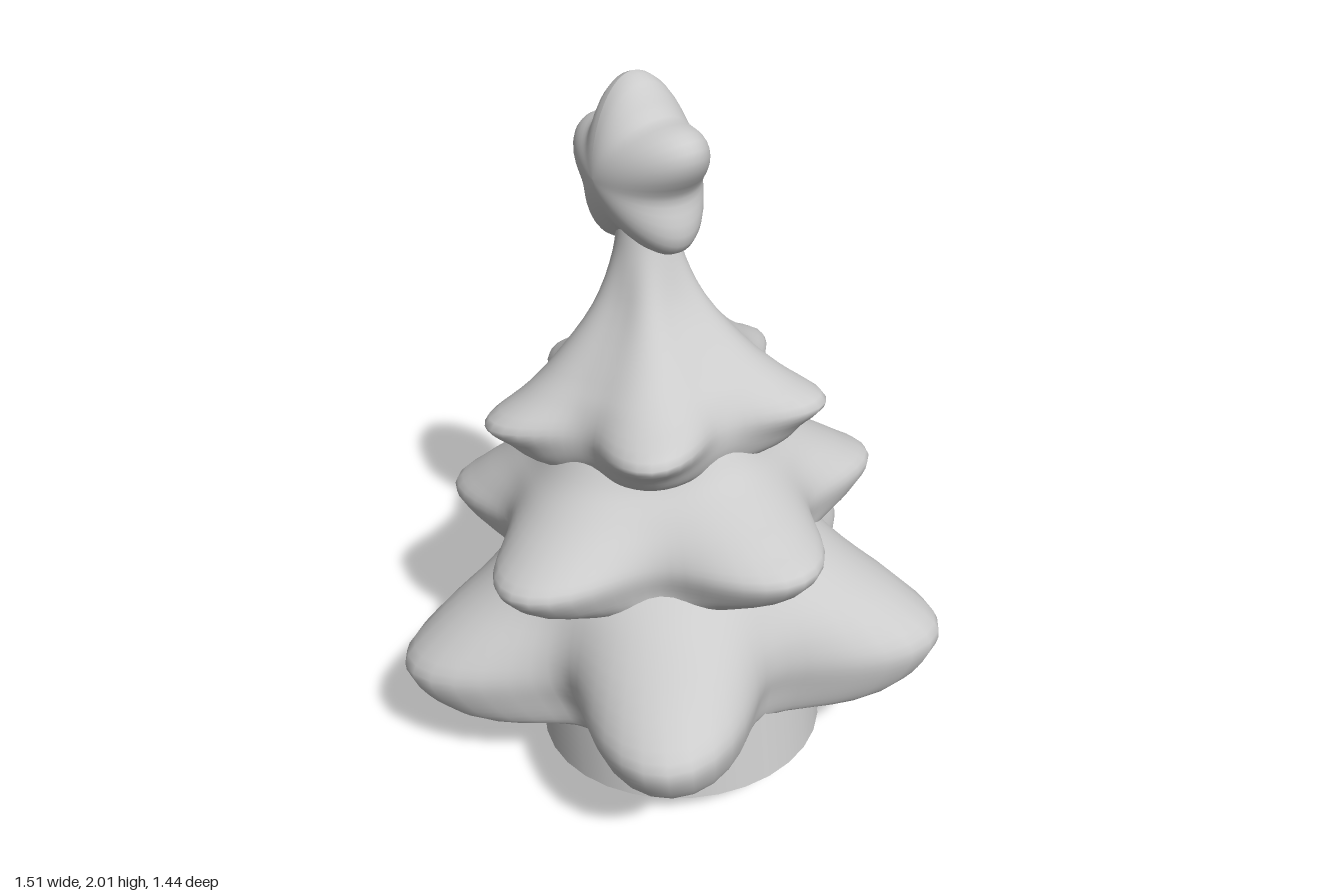
import * as THREE from 'three';

const material = new THREE.MeshStandardMaterial({ color: 0xcccccc });
const SEGMENTS = 80;

// Five-lobed ring profile: 1 on a point, 0 in a valley
const lobe = (angle, sharp = 1) => Math.pow(0.5 + 0.5 * Math.cos(5 * angle), sharp);

// Stacks star-shaped rings [height, valley radius, point radius, z offset]
function makeTier(name, rings, phase, sharp) {
  const positions = [], index = [];
  const curve = k => new THREE.CatmullRomCurve3(
    rings.map(r => new THREE.Vector3(r[0], r[k], r[3] || 0)), false, 'centripetal');
  const valley = curve(1), point = curve(2);
  const rows = (rings.length - 1) * 4;
  for (let i = 0; i <= rows; i++) {
    const v = valley.getPoint(i / rows), p = point.getPoint(i / rows);
    for (let j = 0; j < SEGMENTS; j++) {
      const a = j / SEGMENTS * Math.PI * 2;
      const w = lobe(a - phase, sharp);
      const r = v.y + (p.y - v.y) * w;
      positions.push(Math.sin(a) * r, v.x + (p.x - v.x) * w, Math.cos(a) * r + v.z);
      if (i < rows) {
        const n = i * SEGMENTS + (j + 1) % SEGMENTS, m = i * SEGMENTS + j;
        index.push(m, n, n + SEGMENTS, m, n + SEGMENTS, m + SEGMENTS);
      }
    }
  }
  const geometry = new THREE.BufferGeometry();
  geometry.setAttribute('position', new THREE.Float32BufferAttribute(positions, 3));
  geometry.setIndex(index);
  geometry.computeVertexNormals();
  const mesh = new THREE.Mesh(geometry, material);
  mesh.name = name;
  return mesh;
}

// Puffy five-pointed star lying in the YZ plane
function makeStar() {
  const geometry = new THREE.SphereGeometry(1, 60, 28);
  geometry.rotateZ(-Math.PI / 2);
  const pos = geometry.attributes.position;
  for (let i = 0; i < pos.count; i++) {
    const y = pos.getY(i), z = pos.getZ(i);
    const rim = Math.hypot(y, z);
    const r = 0.17 + 0.07 * lobe(Math.atan2(z, y)) * rim;
    pos.setXYZ(i, pos.getX(i) * 0.148, y * r, z * r);
  }
  geometry.computeVertexNormals();
  const star = new THREE.Mesh(geometry, material);
  star.name = 'topStar';
  star.position.set(0, 1.715, 0.06);
  return star;
}

export function createModel() {
  const model = new THREE.Group();
  model.name = 'tree';

  // The whole tree leans backwards
  const leaning = new THREE.Group();
  leaning.name = 'leaningTree';
  leaning.position.set(0, 0.065, 0.12);
  leaning.rotation.x = -0.145;
  model.add(leaning);

  // Trunk
  const trunk = new THREE.Mesh(new THREE.CylinderGeometry(0.43, 0.435, 0.4, 32), material);
  trunk.name = 'trunk';
  trunk.scale.x = 0.945;
  trunk.position.y = 0.2;
  leaning.add(trunk);

  // Foliage tiers, with the middle one turned by half a lobe
  leaning.add(makeTier('lowerFoliage', [
    [0.2, 0.36, 0.36], [0.19, 0.41, 0.5], [0.215, 0.43, 0.66], [0.3, 0.46, 0.755], [0.39, 0.49, 0.79],
    [0.48, 0.49, 0.7], [0.59, 0.45, 0.53], [0.68, 0.4, 0.41],
  ], Math.PI, 1));
  leaning.add(makeTier('middleFoliage', [
    [0.58, 0.38, 0.38], [0.63, 0.41, 0.5], [0.68, 0.42, 0.585], [0.75, 0.44, 0.635],
    [0.81, 0.43, 0.56], [0.88, 0.39, 0.45], [0.94, 0.34, 0.37], [1.02, 0.29, 0.3, 0.02],
  ], 0, 1.05));
  leaning.add(makeTier('upperFoliage', [
    [0.93, 0.28, 0.28, 0.02], [0.97, 0.3, 0.37, 0.02], [1.02, 0.32, 0.42, 0.02], [1.08, 0.32, 0.475, 0.025],
    [1.15, 0.29, 0.365, 0.03], [1.21, 0.245, 0.285, 0.03], [1.36, 0.135, 0.155, 0.04],
    [1.5, 0.088, 0.09, 0.05], [1.6, 0.07, 0.07, 0.055],
  ], Math.PI, 1.2));

  leaning.add(makeStar());
  return model;
}
